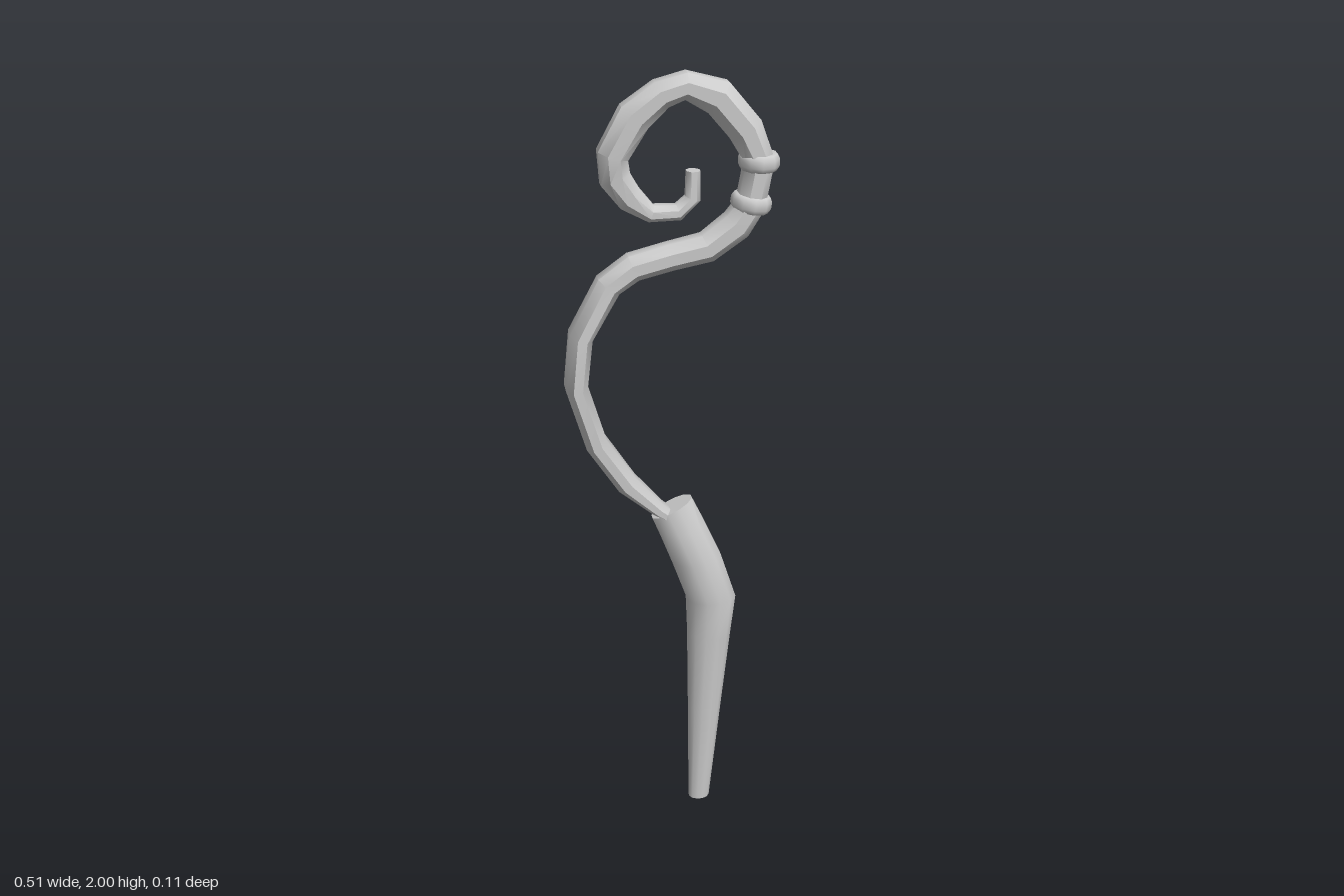
import * as THREE from 'three';
import { toCreasedNormals } from 'three/addons/utils/BufferGeometryUtils.js';

const material = new THREE.MeshStandardMaterial({ color: 0xcccccc });

// Closed sweep through elliptical sections.
// Section: centre (x, y, z), half-width vector (ux, uy) in the xy plane, half-depth d.
function loft(sections, sides, crease) {
  const pos = [], index = [], n = sections.length;
  const grow = 1 / Math.cos(Math.PI / sides);
  for (const s of sections) {
    for (let j = 0; j < sides; j++) {
      const a = ((j + 0.5) / sides) * Math.PI * 2;
      const c = Math.cos(a) * grow, k = Math.sin(a) * grow;
      pos.push(s.x + s.ux * c, s.y + s.uy * c, s.z + s.d * k);
    }
  }
  for (let i = 0; i < n - 1; i++) {
    for (let j = 0; j < sides; j++) {
      const a = i * sides + j, b = i * sides + (j + 1) % sides;
      index.push(a, a + sides, b, b, a + sides, b + sides);
    }
  }
  // end caps
  for (let j = 1; j < sides - 1; j++) {
    const e = (n - 1) * sides;
    index.push(0, j, j + 1, e, e + j + 1, e + j);
  }
  const g = new THREE.BufferGeometry();
  g.setAttribute('position', new THREE.Float32BufferAttribute(pos, 3));
  g.setIndex(index);
  return toCreasedNormals(g, crease);
}

function addMesh(group, name, geometry) {
  const mesh = new THREE.Mesh(geometry, material);
  mesh.name = name;
  group.add(mesh);
  return mesh;
}

export function createModel() {
  const group = new THREE.Group();
  group.name = 'hookedStaff';

  // Tapered, bent handle: left x, left y, right x, right y, half-depth
  const handle = [
    [0.055, 0, 0.11, 0, 0.022],
    [0.052, 0.3, 0.138, 0.3, 0.034],
    [0.049, 0.54, 0.16, 0.53, 0.046],
    [0.045, 0.645, 0.172, 0.645, 0.053],
    [0.005, 0.76, 0.132, 0.77, 0.055],
    [-0.027, 0.845, 0.09, 0.865, 0.047],
    [-0.045, 0.89, 0.055, 0.94, 0.034],
  ].map(([lx, ly, rx, ry, d]) => ({
    x: (lx + rx) / 2, y: (ly + ry) / 2, z: 0, ux: (lx - rx) / 2, uy: (ly - ry) / 2, d,
  }));
  // half-width runs right to left, so flip it to keep faces outward
  handle.forEach((s) => { s.ux *= -1; s.uy *= -1; });
  addMesh(group, 'handle', loft(handle, 12, 0.7));

  // Curved shaft and spiral crook: x, y, half-width, half-depth, z offset
  const path = [
    [0.015, 0.88, 0.014, 0.03, 0],
    [-0.03, 0.915, 0.018, 0.035, 0],
    [-0.108, 0.992, 0.027, 0.042, 0],
    [-0.183, 1.109, 0.027, 0.051, 0],
    [-0.228, 1.263, 0.027, 0.055, 0],
    [-0.214, 1.39, 0.028, 0.051, 0],
    [-0.146, 1.512, 0.031, 0.041, 0],
    [-0.087, 1.554, 0.032, 0.038, 0.002],
    [0, 1.576, 0.032, 0.037, 0.004],
    [0.087, 1.594, 0.034, 0.038, 0.005],
    [0.156, 1.645, 0.036, 0.04, 0.006],
    [0.188, 1.692, 0.033, 0.04, 0.006],
    [0.206, 1.793, 0.034, 0.04, 0.006],
    [0.172, 1.867, 0.04, 0.041, 0.006],
    [0.108, 1.942, 0.041, 0.041, 0.006],
    [0.034, 1.97, 0.03, 0.041, 0.006],
    [-0.021, 1.953, 0.032, 0.041, 0.006],
    [-0.082, 1.905, 0.039, 0.041, 0.006],
    [-0.132, 1.82, 0.036, 0.04, 0.006],
    [-0.127, 1.767, 0.036, 0.036, 0.006],
    [-0.093, 1.719, 0.031, 0.031, 0.006],
    [-0.045, 1.682, 0.02, 0.026, 0.006],
    [0.019, 1.682, 0.019, 0.023, 0.006],
    [0.052, 1.713, 0.018, 0.021, 0.006],
    [0.053, 1.777, 0.016, 0.018, 0.006],
  ];
  const crook = path.map(([x, y, w, d, z], i) => {
    const p = path[Math.max(i - 1, 0)], q = path[Math.min(i + 1, path.length - 1)];
    const t = new THREE.Vector2(q[0] - p[0], q[1] - p[1]).normalize();
    return { x, y, z, ux: t.y * w, uy: -t.x * w, d };
  });
  addMesh(group, 'crook', loft(crook, 8, 0.75));

  // Two raised collars around the crook
  const profile = [[0.6, -0.019], [0.88, -0.019], [1, -0.008], [1, 0.008], [0.88, 0.019], [0.6, 0.019]]
    .map(([r, y]) => new THREE.Vector2(r, y));
  [[0.19, 1.696, -0.15], [0.206, 1.792, -0.03]].forEach(([x, y, tilt], i) => {
    const g = new THREE.LatheGeometry(profile, 10);
    g.scale(0.048, 1, 0.052);
    const ring = addMesh(group, i ? 'upperCollar' : 'lowerCollar', g);
    ring.position.set(x, y, 0.005);
    ring.rotation.z = tilt;
  });

  return group;
}
